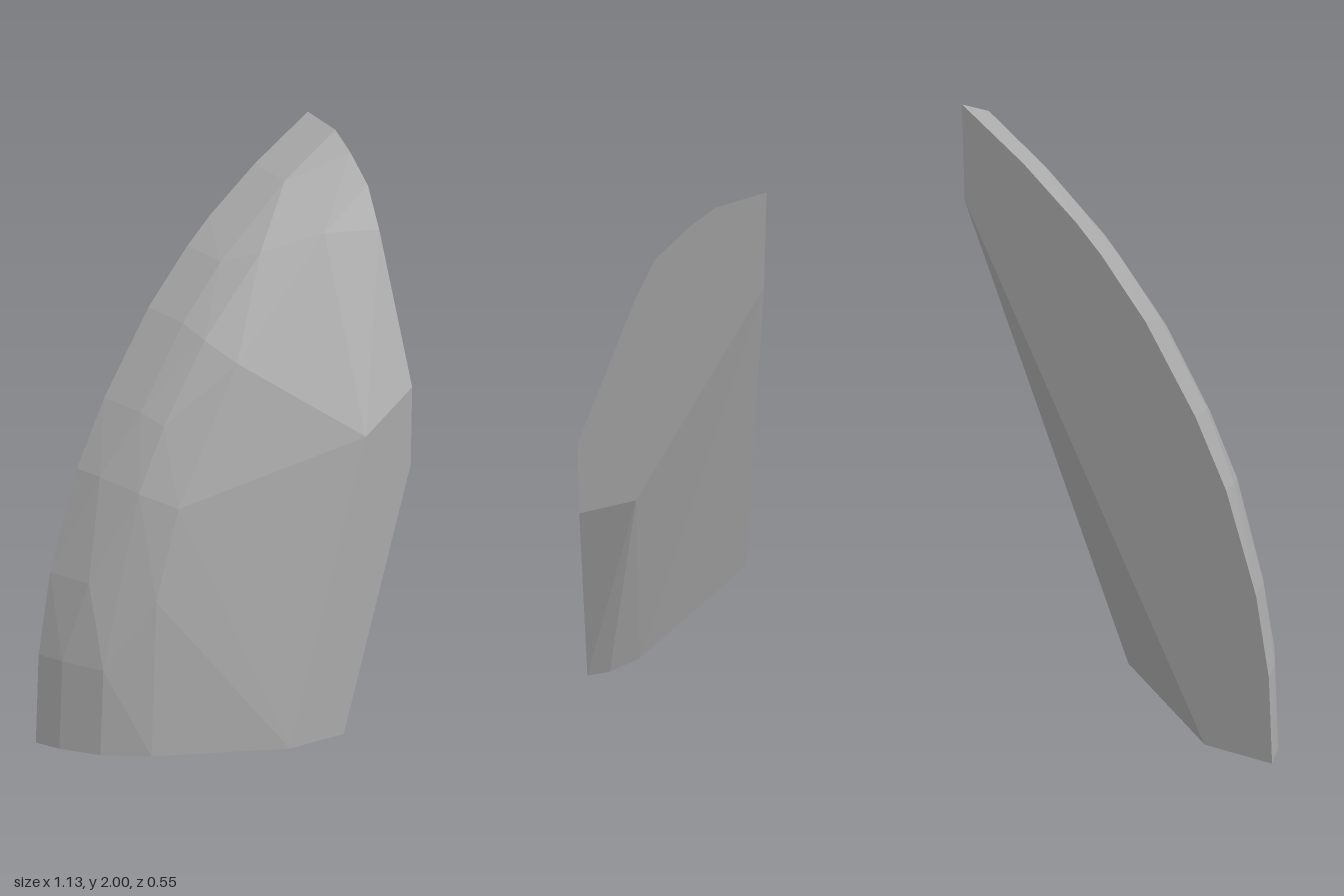
import * as THREE from 'three';
import { ConvexGeometry } from 'three/addons/geometries/ConvexGeometry.js';

const SIDE = 0.567; // flat cut on the +x side
const BACK = -0.275;
const FRONT = 0.275;

// Curved outer edge of the flat back, from the base to the tip
const outline = [
  [-0.567, 0], [-0.55, 0.3], [-0.5, 0.57], [-0.39, 0.9], [-0.28, 1.12],
  [-0.1, 1.4], [0.06, 1.59], [0.15, 1.68], [0.34, 1.84], [SIDE, 2],
];

// Layers towards the front: depth, shrink in x and y, and which outline points are kept
const layers = [
  { z: BACK, sx: 1, sy: 1, keep: [0, 1, 2, 3, 4, 5, 6, 7, 8, 9] },
  { z: -0.13, sx: 0.95, sy: 0.975, keep: [2, 4, 5, 6, 8, 9] },
  { z: -0.18, sx: 0.974, sy: 0.985, keep: [0, 1, 3] },
  { z: -0.05, sx: 0.91, sy: 0.94, keep: [0, 1, 3, 4, 5, 7, 9] },
  { z: 0.04, sx: 0.815, sy: 0.89, keep: [0, 2, 3, 5, 8, 9] },
];

export function createModel() {
  const stone = new THREE.MeshStandardMaterial({ color: 0xaaaaaa });
  stone.name = 'grey stone';

  const points = [];
  const add = (x, y, z) => points.push(new THREE.Vector3(x, y, z));

  // Rounded outer surface
  for (const { z, sx, sy, keep } of layers) {
    for (const i of keep) {
      const [x, y] = outline[i];
      add(SIDE - sx * (SIDE - x), sy * y, z);
    }
  }
  add(-0.34, 0, 0.06);
  add(SIDE, 1.64, 0.1);

  // Flat front facet
  add(0.06, 0, FRONT);
  add(0.29, 0, FRONT);
  add(SIDE, 0.88, FRONT);
  add(SIDE, 1.14, FRONT);
  add(0.37, 1.0, FRONT);

  // Slanted undercut between the side cut and the base
  add(SIDE, 1.69, BACK);
  add(SIDE, 0.93, 0.1);
  add(0.27, 0, 0.2);
  add(0.2, 0, 0.1);
  add(-0.32, 0, BACK);

  const shard = new THREE.Mesh(new ConvexGeometry(points), stone);
  shard.name = 'stoneShard';

  const group = new THREE.Group();
  group.name = 'rockShard';
  group.add(shard);
  return group;
}
